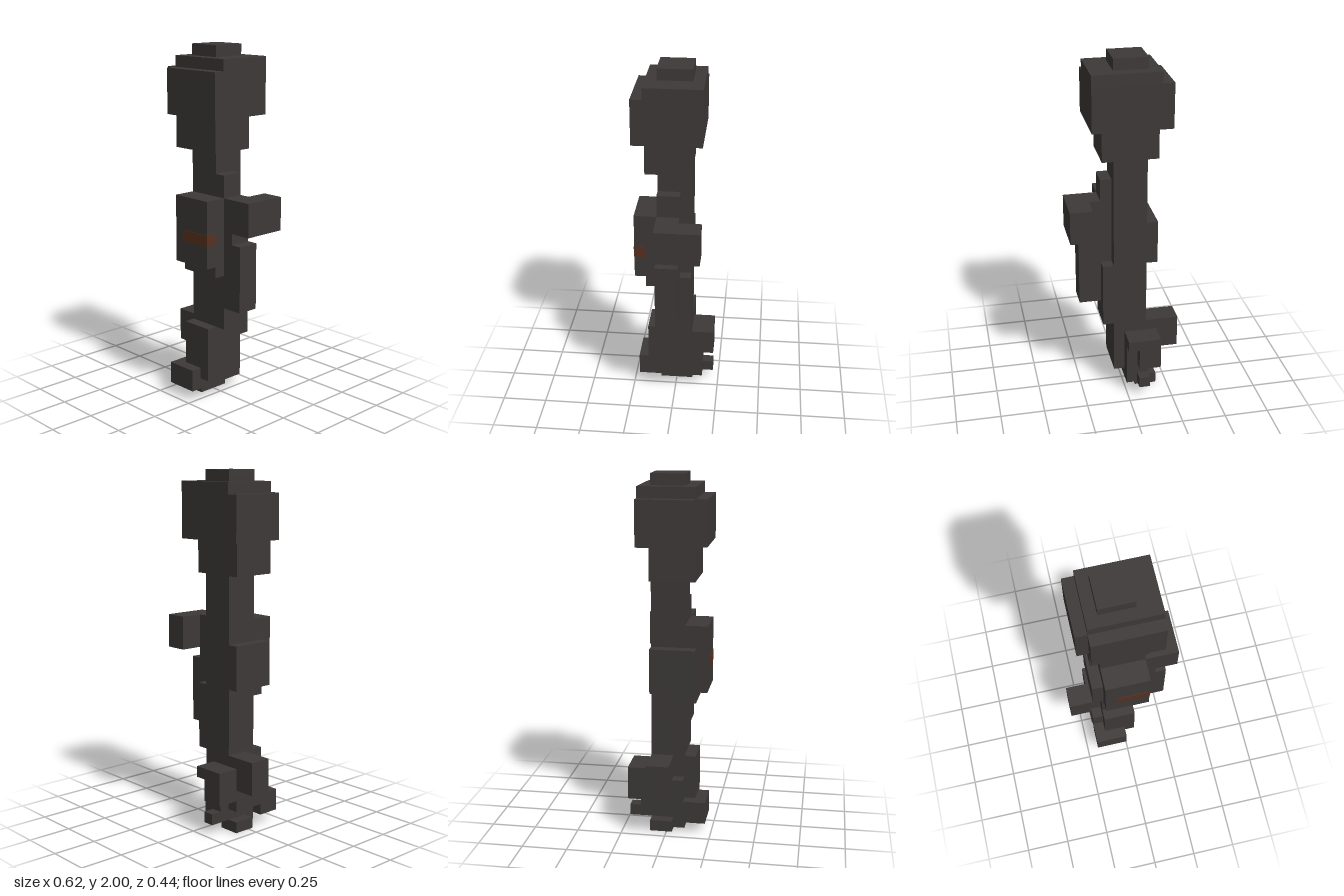
import * as THREE from 'three';

const U = 0.0625; // side of one block

export function createModel() {
  const model = new THREE.Group();
  model.name = 'blockyClub';
  const charcoal = new THREE.MeshStandardMaterial({ color: 0x3d3938 });
  charcoal.name = 'charcoal';
  const rust = new THREE.MeshStandardMaterial({ color: 0x58301f });
  rust.name = 'rust';

  // Box between block coordinates on a 10 x 32 x 7 grid
  function block(name, [x0, x1], [y0, y1], [z0, z1], material = charcoal) {
    const geometry = new THREE.BoxGeometry((x1 - x0) * U, (y1 - y0) * U, (z1 - z0) * U);
    const mesh = new THREE.Mesh(geometry, material);
    mesh.name = name;
    mesh.position.set(((x0 + x1) / 2 - 5) * U, ((y0 + y1) / 2) * U, ((z0 + z1) / 2 - 3.5) * U);
    model.add(mesh);
  }

  // Shaft with its stepped thickening
  block('shaft', [3, 6], [7, 26], [2, 5]);
  block('shaftRidge', [6, 7], [7, 21], [3, 5]);
  block('shaftLowerRidge', [6, 7], [7, 13], [2, 3]);

  // Head
  block('neck', [2, 7], [23, 26], [2, 6]);
  block('head', [1, 8], [26, 30], [1, 6]);
  block('headFront', [2, 8], [26, 30], [6, 7]);
  block('headTop', [2, 8], [30, 31], [1, 6]);
  block('cap', [3, 6], [31, 32], [2, 5]);

  // Front lump with a glowing seam
  block('chestBase', [3, 7], [12, 19], [5, 6]);
  block('chestFront', [3, 7], [13, 19], [6, 7]);
  block('seam', [4, 7.04], [15, 16], [6, 7.04], rust);
  block('rightLump', [2, 3], [13, 17], [2, 6]);

  // Left branch and the lump below it
  block('branchBase', [7, 8], [15, 19], [3, 5]);
  block('branchEnd', [8, 10], [16, 19], [1, 5]);
  block('leftLump', [7, 9], [9, 15], [3, 5]);

  // Knotted base
  block('base', [3, 6], [2, 7], [2, 6]);
  block('baseKnot', [0, 3], [4, 7], [2, 4]);
  block('baseSide', [2, 3], [2, 5], [2, 5]);
  block('baseSole', [3, 5], [1, 3], [1, 7]);
  block('toe', [2, 5], [1, 3], [5, 7]);
  block('heel', [2, 5], [3, 6], [1, 2]);
  block('heelBack', [2, 4], [3, 6], [0, 1]);
  block('heelOverhang', [4, 5], [5, 6], [0, 1]);
  block('heelNub', [3, 4], [1, 2], [0, 1]);
  block('foot', [3, 4], [0, 1], [2, 5]);
  block('footSide', [2, 3], [0, 1], [2, 4]);

  return model;
}
